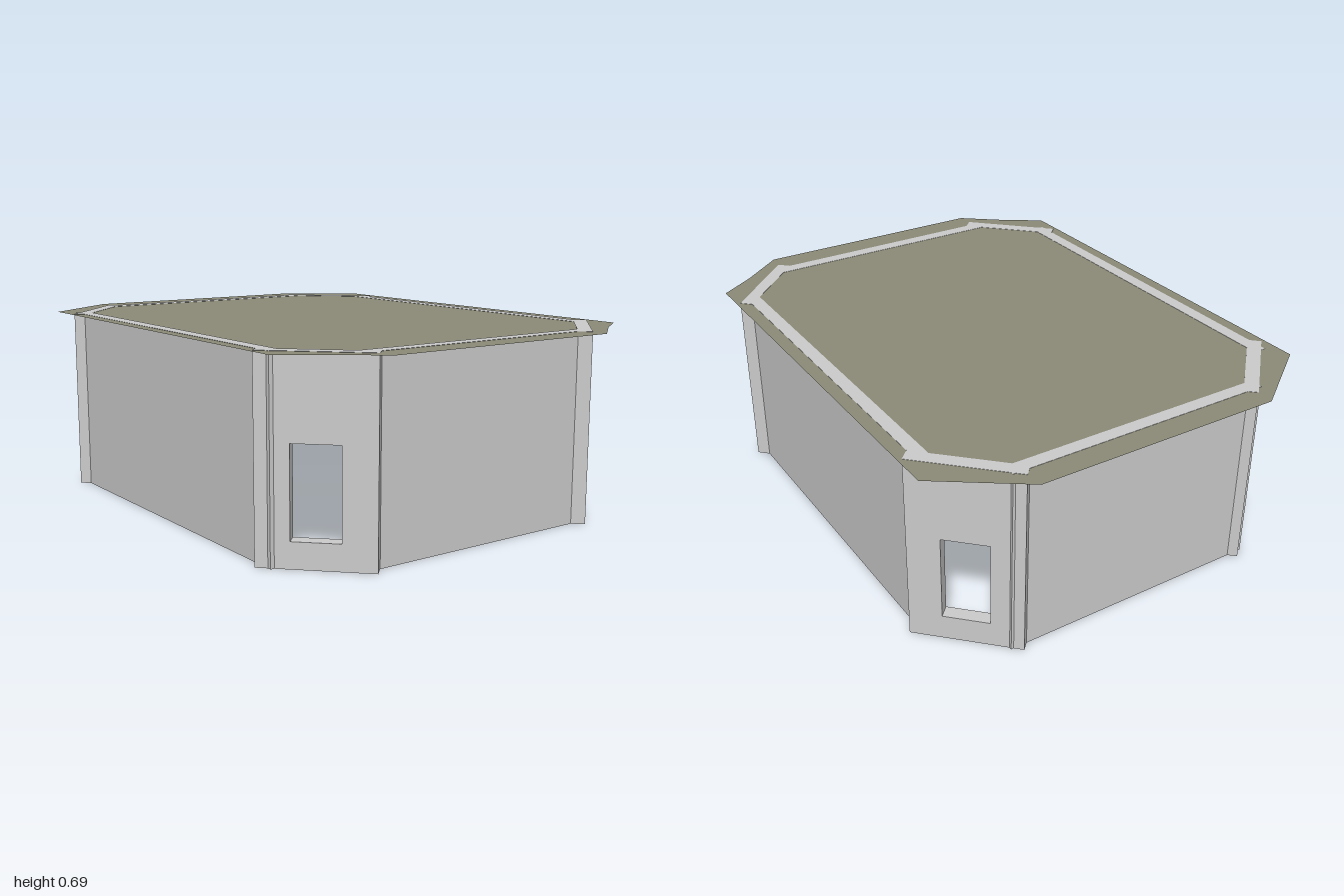
import * as THREE from 'three';

const HEIGHT = 0.685;
const THICK = 0.05;

export function createModel() {
  const model = new THREE.Group();
  const wallMat = new THREE.MeshStandardMaterial({ color: 0xcccccc, flatShading: true });
  const roofMat = new THREE.MeshStandardMaterial({ color: 0x8c8b79, side: THREE.DoubleSide });

  // Straight walls, given by their extents in plan
  function wall(name, x0, x1, z0, z1) {
    const mesh = new THREE.Mesh(new THREE.BoxGeometry(x1 - x0, HEIGHT, z1 - z0), wallMat);
    mesh.position.set((x0 + x1) / 2, HEIGHT / 2, (z0 + z1) / 2);
    mesh.name = name;
    model.add(mesh);
  }
  wall('frontWall', -0.49, 0.49, 0.85, 0.9);
  wall('backWall', -0.5, 0.5, -0.91, -0.86);
  wall('leftWall', 0.655, 0.705, -0.69, 0.69);
  wall('rightWall', -0.71, -0.66, -0.71, 0.705);

  // Diagonal corner panels, each with a window opening
  const half = 0.1945, windowHalf = 0.081;
  const panel = new THREE.Shape([
    new THREE.Vector2(-half, 0), new THREE.Vector2(half, 0),
    new THREE.Vector2(half, HEIGHT), new THREE.Vector2(-half, HEIGHT),
  ]);
  panel.holes.push(new THREE.Path([
    new THREE.Vector2(-windowHalf, 0.09), new THREE.Vector2(-windowHalf, 0.4),
    new THREE.Vector2(windowHalf, 0.4), new THREE.Vector2(windowHalf, 0.09),
  ]));
  const panelGeo = new THREE.ExtrudeGeometry(panel, { depth: THICK, bevelEnabled: false });
  panelGeo.translate(0, 0, -THICK / 2);
  for (const sx of [-1, 1]) {
    for (const sz of [-1, 1]) {
      const mesh = new THREE.Mesh(panelGeo, wallMat);
      mesh.position.set(sx * 0.585, 0, sz * 0.78);
      mesh.rotation.y = Math.atan2(sx, sz);
      mesh.name = (sz > 0 ? 'front' : 'back') + (sx > 0 ? 'Left' : 'Right') + 'WindowPanel';
      model.add(mesh);
    }
  }

  // Thin flat roof, just under the wall tops so that their rim shows
  const side = [[0.46, -1], [0.755, -0.79], [0.755, 0.78], [0.62, 0.87], [0.46, 1]];
  const outline = [...side, ...side.map(([x, z]) => [-x, z]).reverse()];
  const roofGeo = new THREE.ShapeGeometry(
    new THREE.Shape(outline.map(([x, z]) => new THREE.Vector2(x, -z))));
  roofGeo.rotateX(-Math.PI / 2);
  const roof = new THREE.Mesh(roofGeo, roofMat);
  roof.position.y = HEIGHT - 0.001;
  roof.name = 'roof';
  model.add(roof);

  return model;
}
